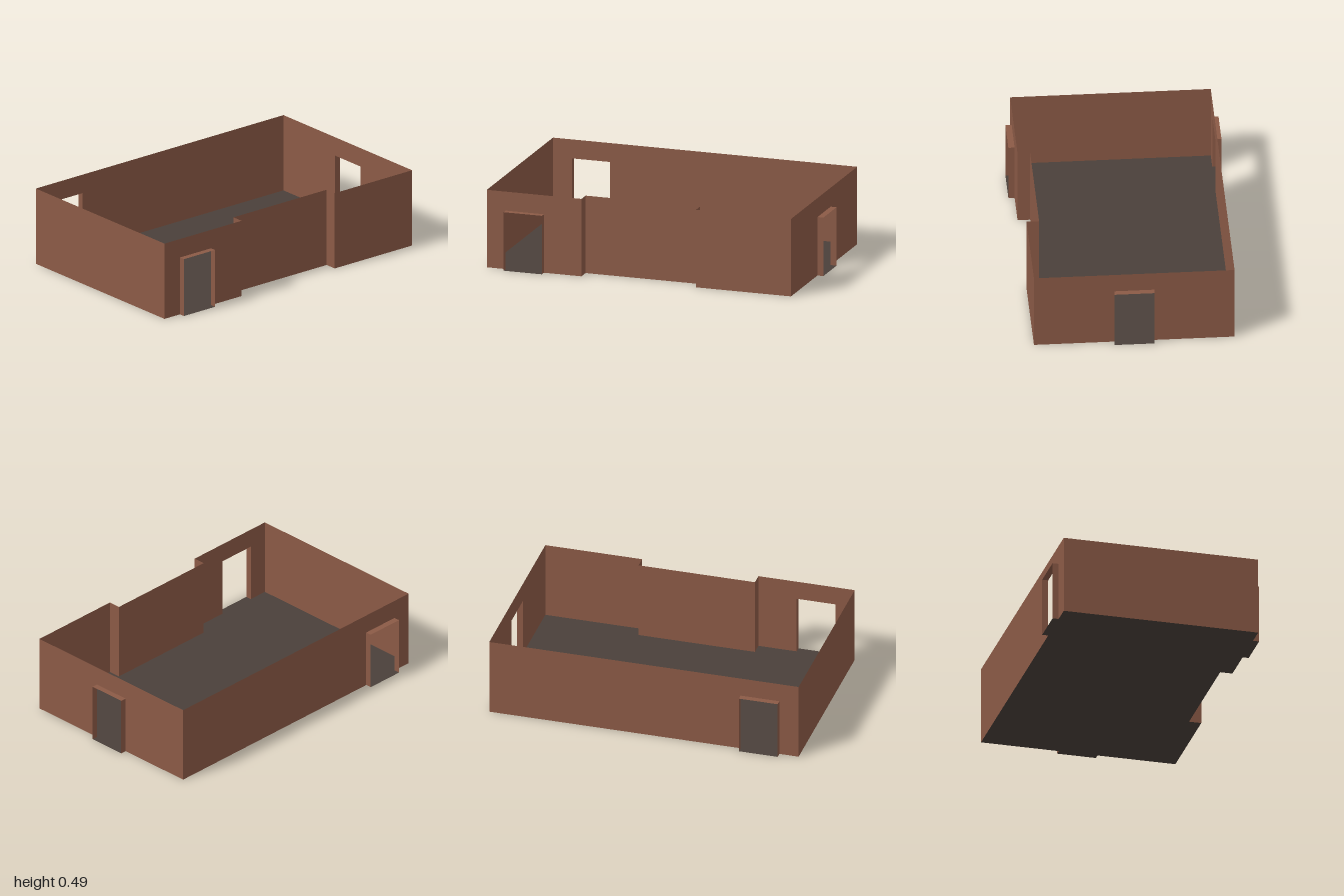
import * as THREE from 'three';

const WALL_HEIGHT = 0.49, DOOR_HEIGHT = 0.37, DOOR_DEPTH = 0.038;

// Wall runs walked anticlockwise from above: [name, x, z, door start, door end along the run]
const RUNS = [
  ['frontRightWall', -1, 0.612, 0.122, 0.368],
  ['alcoveRightWall', -0.39, 0.612],
  ['alcoveBackWall', -0.39, 0.535],
  ['alcoveLeftWall', 0.347, 0.535],
  ['frontLeftWall', 0.347, 0.612],
  ['leftWall', 0.96, 0.612, 0.49, 0.734],
  ['backWall', 0.96, -0.612, 1.592, 1.838],
  ['rightWall', -1, -0.612],
];

export function createModel() {
  const model = new THREE.Group();
  model.name = 'room';
  const brown = new THREE.MeshStandardMaterial({ color: 0x8b5a46, side: THREE.DoubleSide });
  brown.name = 'brown wall';
  const grey = new THREE.MeshStandardMaterial({ color: 0x4a403a, side: THREE.DoubleSide });
  grey.name = 'dark grey floor';

  const add = (parent, name, geometry, material) => {
    const mesh = new THREE.Mesh(geometry, material);
    mesh.name = name;
    parent.add(mesh);
    return mesh;
  };

  const floorOutline = [];
  RUNS.forEach(([name, x, z, d0, d1], i) => {
    const [, nx, nz] = RUNS[(i + 1) % RUNS.length];
    const length = Math.hypot(nx - x, nz - z);
    const run = new THREE.Group();
    run.name = name;
    run.position.set(x, 0, z);
    run.rotation.y = Math.atan2(z - nz, nx - x);
    run.updateMatrix();
    model.add(run);

    // Local +z points out of the room
    const floorPoint = (along, out) => {
      const p = new THREE.Vector3(along, 0, out).applyMatrix4(run.matrix);
      floorOutline.push(new THREE.Vector2(p.x, p.z));
    };
    floorPoint(0, 0);

    // Wall sheet, notched at the doorway
    const outline = [[0, 0]];
    if (d1) {
      outline.push([d0, 0], [d0, DOOR_HEIGHT], [d1, DOOR_HEIGHT], [d1, 0]);
    }
    outline.push([length, 0], [length, WALL_HEIGHT], [0, WALL_HEIGHT]);
    const shape = new THREE.Shape(outline.map(([u, v]) => new THREE.Vector2(u, v)));
    add(run, 'wallPanel', new THREE.ShapeGeometry(shape), brown);

    // Doorway lining standing out from the wall
    if (d1) {
      for (const u of [d0, d1]) {
        const jamb = new THREE.PlaneGeometry(DOOR_DEPTH, DOOR_HEIGHT);
        jamb.rotateY(u === d0 ? -Math.PI / 2 : Math.PI / 2);
        jamb.translate(u, DOOR_HEIGHT / 2, DOOR_DEPTH / 2);
        add(run, 'doorJamb', jamb, brown);
      }
      const lintel = new THREE.PlaneGeometry(d1 - d0, DOOR_DEPTH);
      lintel.rotateX(-Math.PI / 2);
      lintel.translate((d0 + d1) / 2, DOOR_HEIGHT, DOOR_DEPTH / 2);
      add(run, 'doorLintel', lintel, brown);

      floorPoint(d0, 0);
      floorPoint(d0, DOOR_DEPTH);
      floorPoint(d1, DOOR_DEPTH);
      floorPoint(d1, 0);
    }
  });

  // Floor with a threshold in each doorway, facing up
  const floor = new THREE.ShapeGeometry(new THREE.Shape(floorOutline.map((p) => new THREE.Vector2(p.x, -p.y))));
  floor.rotateX(-Math.PI / 2);
  add(model, 'floor', floor, grey);

  return model;
}
